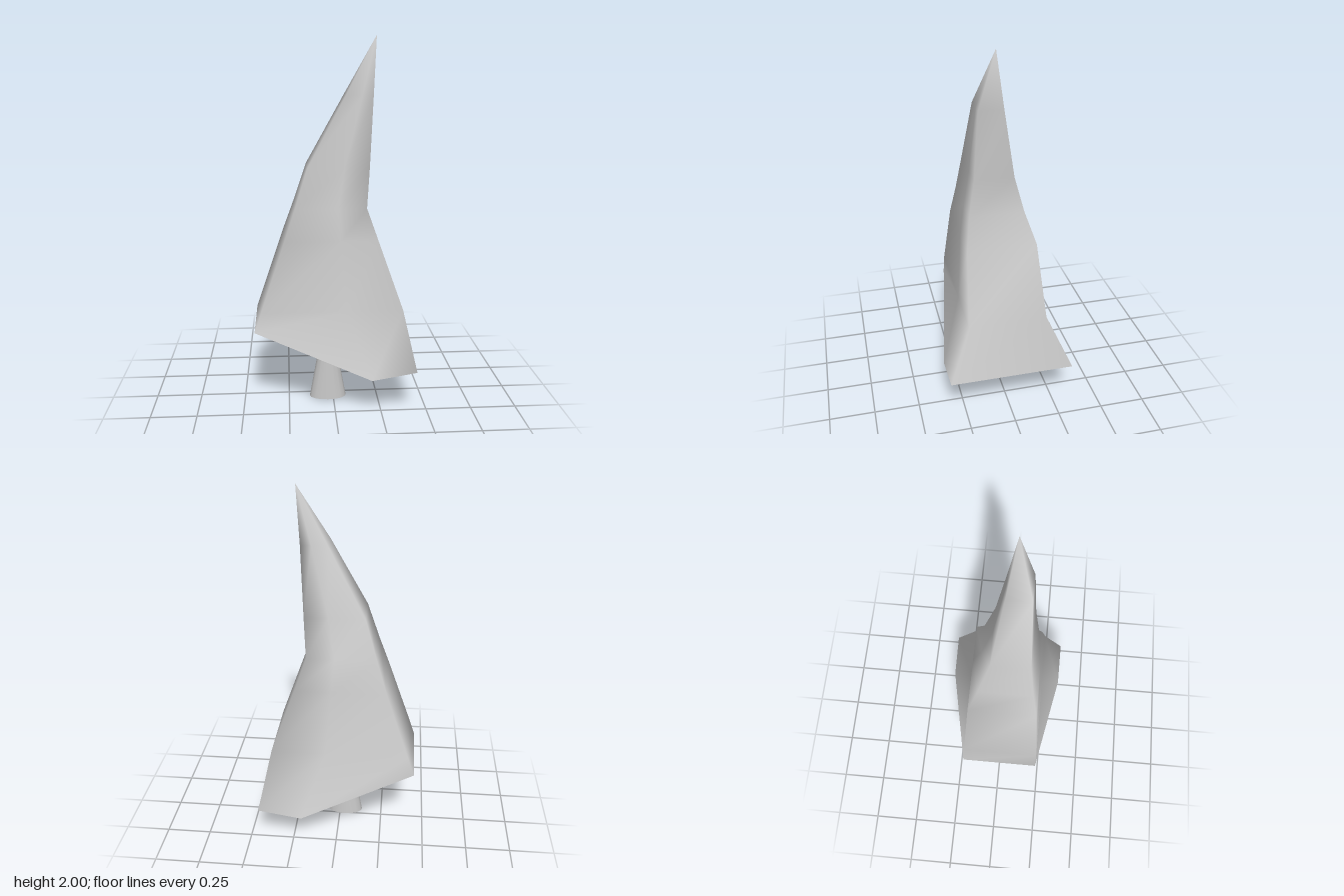
import * as THREE from 'three';

const material = () => new THREE.MeshStandardMaterial({ color: 0xcccccc, side: THREE.DoubleSide });

// Indexed geometry from rings of points, with smooth normals
function makeGeometry(points, index) {
  const geometry = new THREE.BufferGeometry();
  geometry.setAttribute('position', new THREE.Float32BufferAttribute(points.flat(), 3));
  geometry.setIndex(index);
  geometry.computeVertexNormals();
  return geometry;
}

// Slanted lower edge: front left-hand side round to the back
const rim = [
  [-0.43, 0.46, 0.225], [0.19, 0.22, 0.34], [0.43, 0.26, 0.34],
  [0.43, 0.26, -0.34], [0.19, 0.22, -0.34], [-0.43, 0.46, -0.205],
];

// Box-like sections of the crown: y, min x, max x, back z, front z
const sections = [
  [0.57, -0.393, 0.365, -0.2, 0.225],
  [0.95, -0.265, 0.23, -0.175, 0.2],
  [1.12, -0.207, 0.17, -0.12, 0.175],
  [1.33, -0.14, 0.185, -0.06, 0.15],
  [1.7, 0.06, 0.203, 0, 0.13],
];

function crownGeometry() {
  const points = [...rim];
  for (const [y, x0, x1, z0, z1] of sections) {
    const xm = x0 + (x1 - x0) * 0.6;
    points.push([x0, y, z1], [xm, y, z1], [x1, y, z1], [x1, y, z0], [xm, y, z0], [x0, y, z0]);
  }
  const tip = points.push([0.225, 2, 0.047]) - 1;
  const index = [];
  for (let r = 0; r <= sections.length; r++) {
    for (let i = 0; i < 6; i++) {
      const a = r * 6 + i, b = r * 6 + (i + 1) % 6;
      if (r === sections.length) index.push(a, b, tip);
      else index.push(a, b, b + 6, a, b + 6, a + 6);
    }
  }
  return makeGeometry(points, index);
}

export function createModel() {
  const group = new THREE.Group();
  const add = (name, geometry) => {
    const mesh = new THREE.Mesh(geometry, material());
    mesh.name = name;
    group.add(mesh);
  };

  // Leaning crown with a bent tip
  add('crown', crownGeometry());

  // Underside: two sloping panels that meet at the lowest edge
  add('crownUnderside', makeGeometry(rim, [0, 5, 4, 0, 4, 1, 1, 4, 3, 1, 3, 2]).toNonIndexed());
  group.children[1].geometry.computeVertexNormals();

  // Oval trunk, tapering in width only
  const trunk = new THREE.CylinderGeometry(1, 1, 0.4, 16);
  const p = trunk.attributes.position;
  for (let i = 0; i < p.count; i++) {
    const y = p.getY(i) + 0.2;
    p.setXYZ(i, -0.03 + p.getX(i) * (0.103 - 0.18 * y), y, 0.047 + p.getZ(i) * 0.057);
  }
  trunk.computeVertexNormals();
  add('trunk', trunk);

  return group;
}
